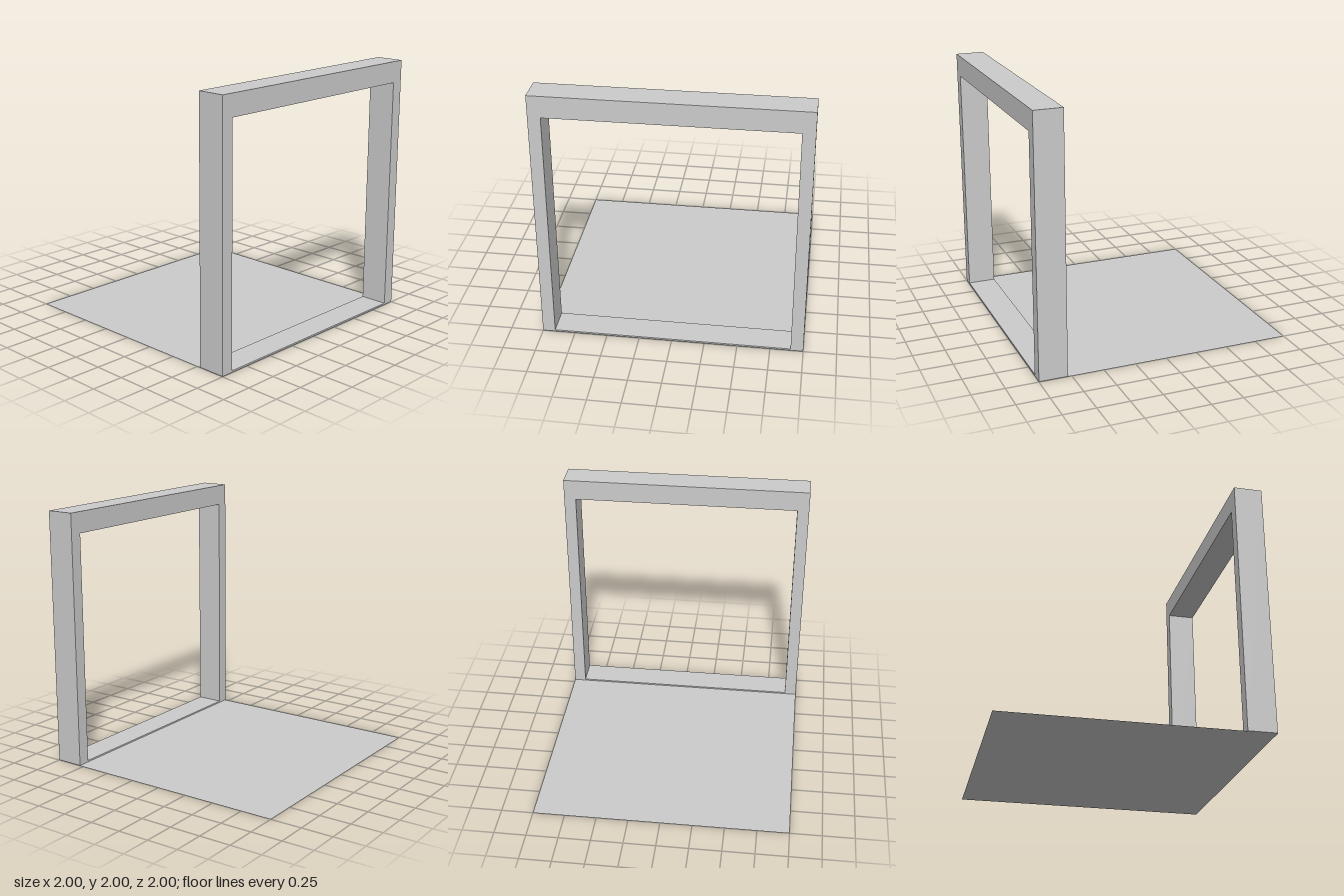
import * as THREE from 'three';

export function createModel() {
  const group = new THREE.Group();
  const material = new THREE.MeshStandardMaterial({ color: 0xcccccc, flatShading: true });
  const floorMaterial = material.clone();
  floorMaterial.side = THREE.DoubleSide;

  // Rectangular outline, counter-clockwise
  const corners = (x, y0, y1) => [[-x, y0], [x, y0], [x, y1], [-x, y1]].map(p => new THREE.Vector2(...p));

  // Doorway frame: two posts, a deep lintel and a thin sill
  const outline = new THREE.Shape(corners(1, 0.003, 2));
  outline.holes.push(new THREE.Path(corners(0.905, 0.015, 1.835)));
  const frameGeometry = new THREE.ExtrudeGeometry(outline, { depth: 0.22, bevelEnabled: false });
  const frame = new THREE.Mesh(frameGeometry, material);
  frame.name = 'doorwayFrame';
  frame.position.z = 0.78;
  group.add(frame);

  // Flat floor sheet running back from the doorway
  const floor = new THREE.Mesh(new THREE.PlaneGeometry(2, 2).rotateX(-Math.PI / 2), floorMaterial);
  floor.name = 'floor';
  group.add(floor);

  return group;
}
